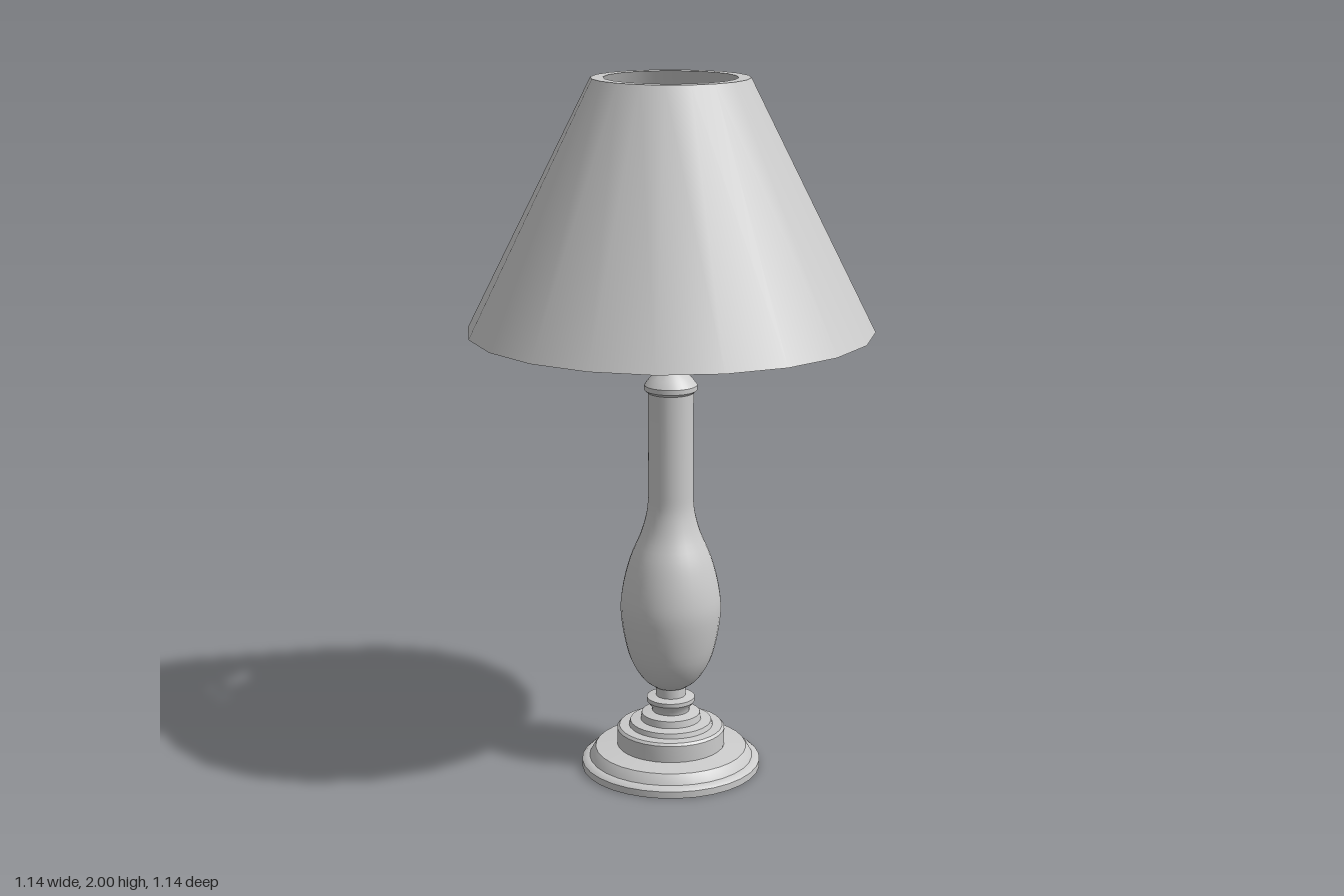
import * as THREE from 'three';
import { toCreasedNormals } from 'three/addons/utils/BufferGeometryUtils.js';

const material = new THREE.MeshStandardMaterial({ color: 0xcccccc });
const doubleSided = new THREE.MeshStandardMaterial({ color: 0xcccccc, side: THREE.DoubleSide });

// Turned part from [radius, height] pairs, listed bottom to top
function turned(name, profile, sides, mat = material) {
  const points = profile.map(([r, y]) => new THREE.Vector2(r, y));
  const geometry = toCreasedNormals(new THREE.LatheGeometry(points, sides), 0.6);
  const mesh = new THREE.Mesh(geometry, mat);
  mesh.name = name;
  return mesh;
}

export function createModel() {
  const lamp = new THREE.Group();
  lamp.name = 'tableLamp';

  // Stepped foot with a flared collar
  lamp.add(turned('foot', [
    [0, 0], [0.26, 0], [0.26, 0.02], [0.25, 0.028], [0.238, 0.03], [0.23, 0.045],
    [0.22, 0.058], [0.157, 0.066], [0.157, 0.115], [0.15, 0.122], [0.122, 0.124],
    [0.118, 0.138], [0.088, 0.142], [0.085, 0.162], [0.054, 0.168], [0.056, 0.18],
    [0.07, 0.198], [0.07, 0.21], [0.043, 0.215], [0.043, 0.245], [0, 0.245],
  ], 32));

  // Vase-shaped body flowing into a straight neck
  const curve = new THREE.SplineCurve([
    [0.05, 0.245], [0.085, 0.275], [0.122, 0.345], [0.144, 0.46], [0.14, 0.54],
    [0.118, 0.63], [0.085, 0.71], [0.068, 0.775], [0.065, 0.83],
  ].map(([r, y]) => new THREE.Vector2(r, y)));
  const vase = curve.getPoints(32).map((p) => [p.x, p.y]);
  lamp.add(turned('body', [
    [0, 0.242], ...vase, [0.065, 1.12], [0.075, 1.128], [0.075, 1.142],
    [0.06, 1.162], [0.038, 1.18], [0.036, 1.2], [0, 1.2],
  ], 32));

  // Socket and post carrying the shade
  lamp.add(turned('post', [
    [0, 1.195], [0.041, 1.195], [0.046, 1.29], [0.044, 1.5], [0.034, 1.83], [0, 1.83],
  ], 20));

  // Four horizontal arms from the post to the shade
  const arms = new THREE.Group();
  arms.name = 'shadeArms';
  for (let i = 0; i < 4; i++) {
    const geometry = new THREE.CylinderGeometry(0.026, 0.026, 0.27, 12);
    geometry.rotateZ(-Math.PI / 2).translate(0.135, 1.825, 0);
    const arm = new THREE.Mesh(geometry, material);
    arm.name = 'shadeArm';
    arm.rotation.y = (i * Math.PI) / 2;
    arms.add(arm);
  }
  lamp.add(arms);

  // Thick-walled conical shade, open at both ends
  lamp.add(turned('shade', [
    [0.5, 1.3], [0.571, 1.3], [0.22, 2], [0.185, 2], [0.5, 1.3],
  ], 20, doubleSided));

  return lamp;
}
